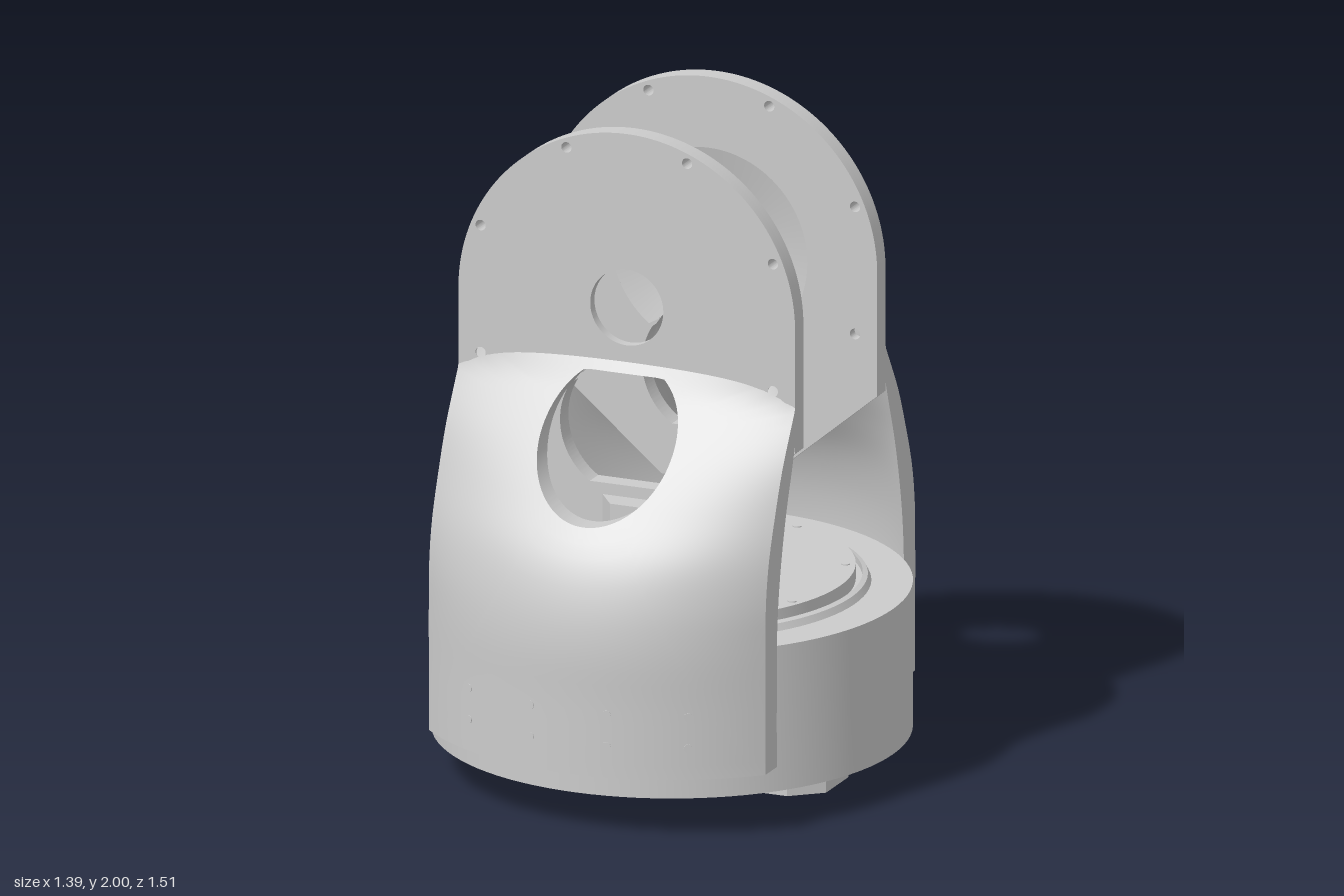
import * as THREE from 'three';
import { toCreasedNormals } from 'three/addons/utils/BufferGeometryUtils.js';

const PI = Math.PI;
const grey = new THREE.MeshStandardMaterial({ color: 0xcccccc });
const W = 0.53;            // half width of an arm
const EYE = 1.475;         // height of the pivot hole
const WIN = 1.11;          // height of the window centre
const WR = 0.21;           // window radius

function add(parent, name, geo, crease = 0.2) {
  const mesh = new THREE.Mesh(toCreasedNormals(geo, crease), grey);
  mesh.name = name;
  parent.add(mesh);
  return mesh;
}

function extrude(shape, depth) {
  return new THREE.ExtrudeGeometry(shape, { depth, bevelEnabled: false, curveSegments: 40 });
}

// Upright prism from a floor plan of [x, z] corners
function prism(plan, y, height) {
  const shape = new THREE.Shape(plan.map(([x, z]) => new THREE.Vector2(x, -z)));
  return extrude(shape, height).rotateX(-PI / 2).translate(0, y, 0);
}

// Surface through rows of points, closed in both directions
function ringSurface(rows) {
  const n = rows[0].length, m = rows.length, index = [];
  for (let s = 0; s < m; s++) for (let t = 0; t < n; t++) {
    const s2 = (s + 1) % m, t2 = (t + 1) % n;
    const a = s * n + t, b = s2 * n + t, c = s2 * n + t2, d = s * n + t2;
    index.push(a, b, c, a, c, d);
  }
  const geo = new THREE.BufferGeometry();
  geo.setAttribute('position', new THREE.Float32BufferAttribute(rows.flat(2), 3));
  geo.setIndex(index);
  return geo;
}

// Shell depth by height: outer centre, outer edge, inner centre, inner edge
const heights = [0.19, 0.4, 0.58, 0.7, 0.82, 0.95, 1.08, 1.2, 1.24, 1.33];
const depths = [
  0.755, 0.538, 0.70, 0.457,
  0.755, 0.538, 0.70, 0.457,
  0.755, 0.538, 0.697, 0.455,
  0.735, 0.535, 0.675, 0.443,
  0.69, 0.515, 0.625, 0.42,
  0.60, 0.47, 0.53, 0.385,
  0.50, 0.415, 0.425, 0.34,
  0.40, 0.345, 0.335, 0.305,
  0.37, 0.322, 0.305, 0.30,
  0.312, 0.305, 0.30, 0.30,
];
const profile = new THREE.CubicInterpolant(heights, depths, 4, new Float32Array(4));

function shellDepth(x, y, inner) {
  const v = profile.evaluate(y);
  const R = inner ? 0.70 : 0.755, e = Math.sqrt(R * R - W * W);
  const f = (Math.sqrt(R * R - x * x) - e) / (R - e);
  const [c, d] = inner ? [v[2], v[3]] : [v[0], v[1]];
  return d + (c - d) * f;
}

// Curved shell fanned out from its window to a rectangular outline
function shellGeometry() {
  const corners = [[W, 0.19], [W, 1.33], [-W, 1.33], [-W, 0.19]];
  const rim = [], N = 32, S = 18;
  corners.forEach(([x, y], i) => {
    const [x2, y2] = corners[(i + 1) % 4];
    for (let k = 0; k < N; k++) rim.push([x + (x2 - x) * k / N, y + (y2 - y) * k / N]);
  });
  const row = (s, inner) => rim.map(([x, y]) => {
    const a = Math.atan2(y - WIN, x);
    const r = Math.sin(a) > 0 ? Math.min(WR, 0.17 / Math.sin(a)) : WR;
    const px = r * Math.cos(a), py = WIN + r * Math.sin(a);
    const qx = px + (x - px) * s, qy = py + (y - py) * s;
    return [qx, qy, shellDepth(qx, qy, inner)];
  });
  const rows = [];
  for (let s = 0; s <= S; s++) rows.push(row(s / S, false));
  for (let s = S; s >= 0; s--) rows.push(row(s / S, true));
  return ringSurface(rows);
}

// Plate outline: round top, tapered tongue below, small screw holes
function plateShape() {
  const shape = new THREE.Shape();
  shape.absarc(0, 1.47, W, 0, PI, false);
  [[-W, 1.1], [-0.15, 0.78], [0.15, 0.78], [W, 1.1]].forEach(([x, y]) => shape.lineTo(x, y));
  for (const s of [-1, 1]) for (const [x, y] of [[0.19, 1.935], [0.46, 1.665], [0.46, 1.28]])
    shape.holes.push(new THREE.Path().absarc(s * x, y, 0.016, 0, 2 * PI, true));
  return shape;
}

// Sides and flat bottom of the window, up to the given angle
function windowArcs(path, top) {
  path.absarc(0, WIN, WR, PI - top, PI + 0.985, false);
  path.absarc(0, WIN, WR, -0.985, top, false);
  return path;
}

// Sloping wall of the recess, cut away where it meets the window
function recessGeometry() {
  const rows = [[], []], n = 144, d = EYE - WIN;
  for (let i = 0; i < n; i++) {
    const t = i / n * 2 * PI, a = Math.abs(t - PI), q = WR * WR - (d * Math.sin(a)) ** 2;
    let r = 0.31;
    if (a < 0.612 && q > 0) r = Math.min(0.31, Math.max(0.195 / Math.cos(a), d * Math.cos(a) - Math.sqrt(q)));
    [0.19, r].forEach((rad, k) => rows[k].push(
      [rad * Math.sin(t), EYE + rad * Math.cos(t), 0.295 - 0.03 * (rad - 0.19) / 0.12]));
  }
  // back of the wedge, buried against the outer layer
  const back = rows[1].map(([x, y]) => [x, y, 0.296]);
  return ringSurface([rows[0], rows[1], back]);
}

function createArm(name) {
  const arm = new THREE.Group();
  arm.name = name;
  add(arm, 'curvedShell', shellGeometry(), 0.5);

  const outer = plateShape();
  outer.holes.push(new THREE.Path().absarc(0, EYE, 0.115, 0, 2 * PI, true));
  outer.holes.push(windowArcs(new THREE.Path(), 0.943));
  add(arm, 'outerPlate', extrude(outer, 0.03).translate(0, 0, 0.295));

  const inner = plateShape();
  const recess = new THREE.Path().absarc(0, EYE, 0.31, -PI / 2 + 0.612, 1.5 * PI - 0.612, false);
  inner.holes.push(windowArcs(recess, 0.557));
  add(arm, 'innerPlate', extrude(inner, 0.03).translate(0, 0, 0.265));
  add(arm, 'recessWall', recessGeometry());

  // Two rows of small screws around the skirt
  for (const x of [-0.345, -0.12, 0.12, 0.345]) for (const y of [0.285, 0.38]) {
    const screw = new THREE.CylinderGeometry(0.013, 0.013, 0.01, 16).rotateX(PI / 2);
    screw.translate(0, y, 0.752).rotateY(Math.asin(x / 0.755));
    add(arm, 'skirtScrew', screw, 0.6);
  }
  return arm;
}

export function createModel() {
  const model = new THREE.Group();
  model.name = 'yokeMount';

  // Drum with stepped faces and a centre bore
  const section = [
    [0.115, 0.04], [0.19, 0.04], [0.31, 0.07], [0.53, 0.07], [0.53, 0.1], [0.55, 0.1],
    [0.55, 0.09], [0.575, 0.115], [0.695, 0.115], [0.695, 0.555], [0.575, 0.555],
    [0.565, 0.575], [0.55, 0.58], [0.55, 0.56], [0.53, 0.56], [0.53, 0.605],
    [0.31, 0.605], [0.19, 0.63], [0.115, 0.63], [0.115, 0.04],
  ].map(([r, y]) => new THREE.Vector2(r, y));
  add(model, 'drum', new THREE.LatheGeometry(section, 96));

  // Screws around both drum faces
  for (let i = 0; i < 8; i++) for (const y of [0.603, 0.072]) {
    const a = (i + 0.5) * PI / 4;
    const screw = new THREE.CylinderGeometry(0.013, 0.013, 0.01, 16);
    add(model, 'drumScrew', screw.translate(0.5 * Math.cos(a), y, 0.5 * Math.sin(a)), 0.6);
  }

  // Connector block under the drum
  add(model, 'connectorBlock', prism([[0.2, 0.155], [0.43, 0.155], [0.52, 0.08],
    [0.52, -0.08], [0.43, -0.155], [0.2, -0.155]], 0, 0.08));

  // Facing pair of arms
  model.add(createArm('frontArm'));
  const back = createArm('backArm');
  back.rotation.y = PI;
  model.add(back);

  // Small bracket behind the front arm's window
  add(model, 'bracket', prism([[-0.08, 0.32], [-0.02, 0.4], [0.2, 0.4], [0.2, 0.32]], 0.78, 0.12));
  return model;
}
